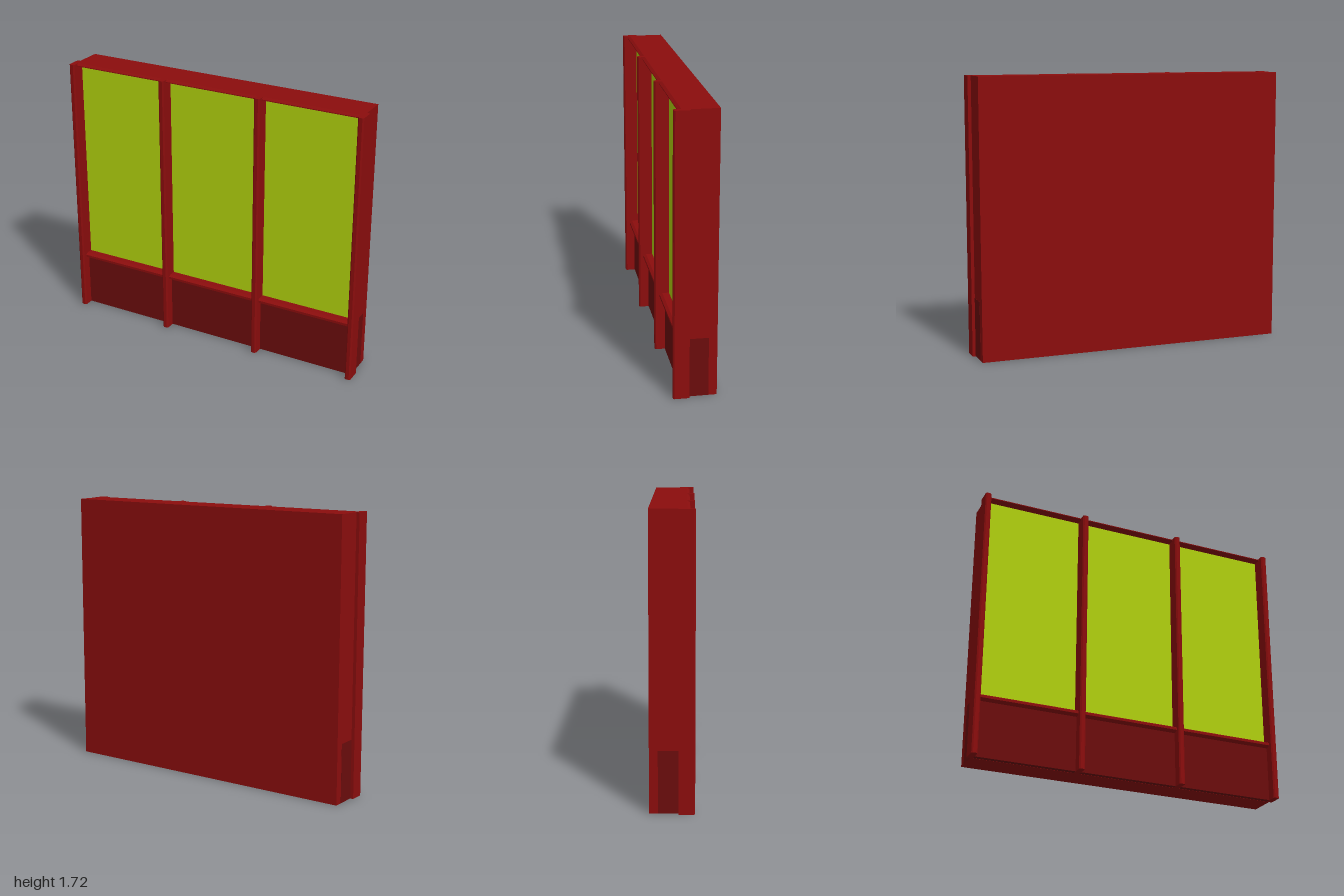
import * as THREE from 'three';

const red = new THREE.MeshStandardMaterial({ color: 0x8b0d0d });
red.name = 'frame red';
const darkRed = new THREE.MeshStandardMaterial({ color: 0x6b0c0c });
darkRed.name = 'panel dark red';
const lime = new THREE.MeshStandardMaterial({ color: 0xb0d00e });
lime.name = 'pane lime';

const H = 1.715;

export function createModel() {
  const group = new THREE.Group();

  const add = (name, geometry, material) => {
    const mesh = new THREE.Mesh(geometry, material);
    mesh.name = name;
    group.add(mesh);
  };
  // Box given by its limits on each axis
  const box = (name, material, [x0, x1], [y0, y1], [z0, z1]) =>
    add(name, new THREE.BoxGeometry(x1 - x0, y1 - y0, z1 - z0)
      .translate((x0 + x1) / 2, (y0 + y1) / 2, (z0 + z1) / 2), material);
  const extrude = (points, depth) => new THREE.ExtrudeGeometry(
    new THREE.Shape(points.map(([x, y]) => new THREE.Vector2(x, y))),
    { depth, bevelEnabled: false });

  // Solid wall behind the frame
  box('wallBody', red, [-0.98, 0.98], [0, H], [-0.13, 0.036]);

  // Lower panel, wrapping slightly round the wall ends
  box('lowerPanel', darkRed, [-0.981, 0.981], [0.001, 0.365], [-0.08, 0.068]);

  // Upright posts with chamfered front corners
  const w = 0.0185, c = 0.008;
  const postOutline = [[-w, -0.035], [w, -0.035], [w, -0.13 + c], [w - c, -0.13],
    [c - w, -0.13], [-w, -0.13 + c]];
  const posts = [-0.9815, -0.327, 0.327, 0.9815];
  posts.forEach((x) => add('post',
    extrude(postOutline, H).rotateX(-Math.PI / 2).translate(x, 0, 0), red));

  // Rails across the front: outline in (-z, y), swept along x
  const rail = (name, y0, y1, chamferBottom) => {
    const outline = [[-0.035, y0], [-0.035, y1], [-0.083, y1], [-0.1, y1 - 0.01]];
    if (chamferBottom) outline.push([-0.1, y0 + 0.01], [-0.083, y0]);
    else outline.push([-0.1, y0]);
    add(name, extrude(outline, 1.96).rotateY(Math.PI / 2).translate(-0.98, 0, 0), red);
  };
  rail('sill', 0.345, 0.38, true);
  rail('topRail', 1.7, H, false);

  // Coloured panes between the posts
  for (let i = 0; i < 3; i++) {
    box('pane', lime, [posts[i] + w, posts[i + 1] - w], [0.37, 1.705], [0.036, 0.042]);
  }
  return group;
}
